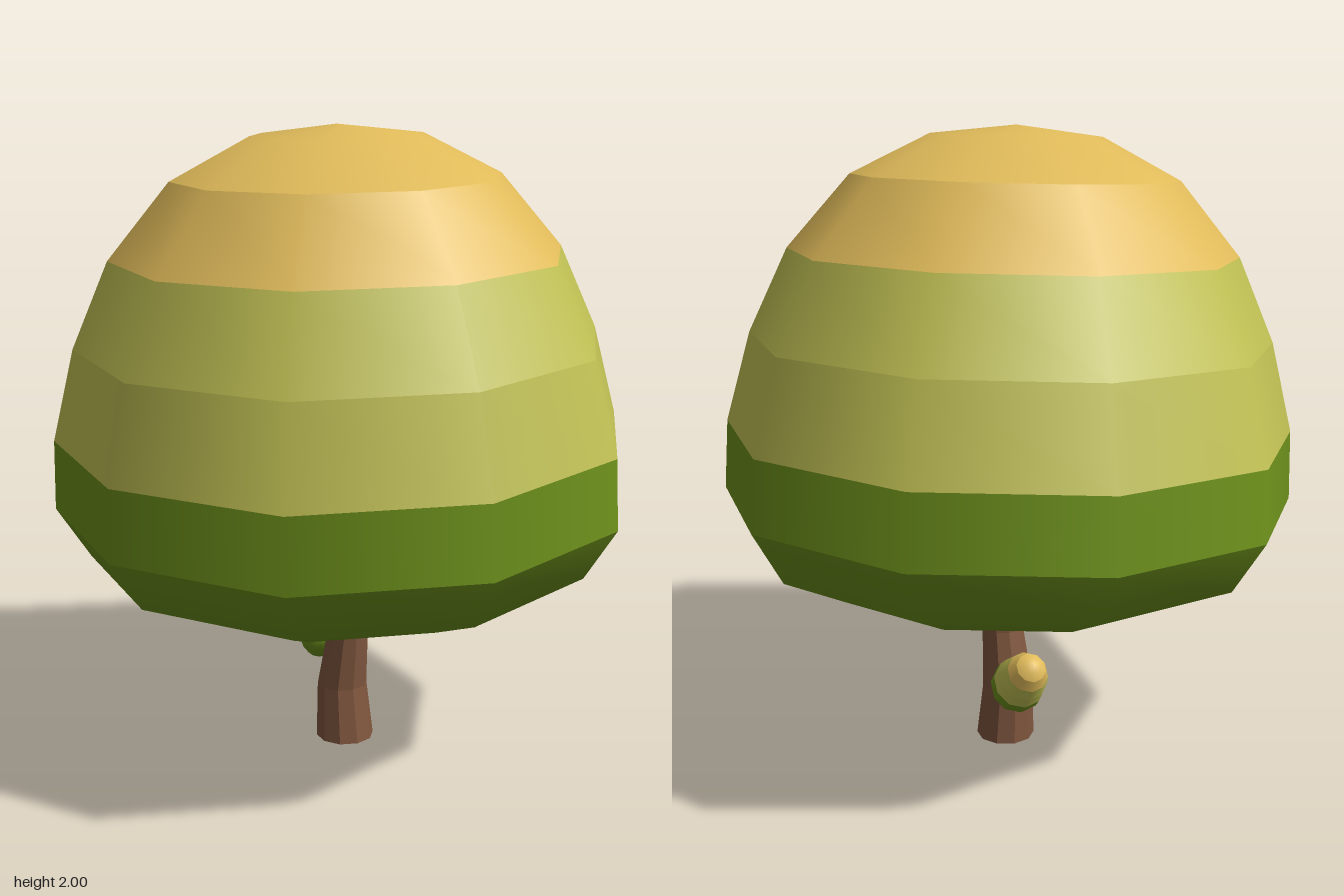
import * as THREE from 'three';

const SIDES = 10;
const mat = (color, extra = {}) => new THREE.MeshStandardMaterial({ color, ...extra });
const yellow = mat(0xe0bb5a), lightGreen = mat(0xc2c255), darkGreen = mat(0x6f931c);
const bark = mat(0x80573f, { flatShading: true });

// Crown profile [radius, height above its base], bottom to top
const PROFILE = [[0, 0], [0.3, 0.02], [0.6, 0.073], [0.81, 0.17], [0.91, 0.335], [0.9, 0.555],
  [0.825, 0.84], [0.705, 1.105], [0.51, 1.335], [0.265, 1.462], [0, 1.493]];

// Each band is smooth inside and creased against its neighbours
const BANDS = [
  ['crownUnderside', 0, 4, darkGreen], ['crownLowerBand', 4, 5, darkGreen],
  ['crownMiddleBand', 5, 6, lightGreen], ['crownUpperBand', 6, 7, lightGreen],
  ['crownShoulder', 7, 8, yellow], ['crownTop', 8, 10, yellow],
];

function makeCrown(name) {
  const crown = new THREE.Group();
  crown.name = name;
  for (const [part, from, to, material] of BANDS) {
    const points = PROFILE.slice(from, to + 1).map(([r, y]) => new THREE.Vector2(r, y));
    const geometry = new THREE.LatheGeometry(points, SIDES).rotateY(Math.PI / 2);
    const mesh = new THREE.Mesh(geometry, material);
    mesh.name = part;
    crown.add(mesh);
  }
  return crown;
}

// Points the local y axis along a direction
function aim(object, direction) {
  object.quaternion.setFromUnitVectors(new THREE.Vector3(0, 1, 0), direction.clone().normalize());
}

// Trunk: cylinder whose rings are moved to follow a crooked centre line
function makeTrunk() {
  // [height, radius, centre z]
  const rings = [[0, 0.095, -0.007], [0.18, 0.082, -0.02], [0.38, 0.067, 0.008], [0.56, 0.057, -0.003]];
  const geometry = new THREE.CylinderGeometry(1, 1, 3, SIDES, 3, false, Math.PI / 2);
  const p = geometry.attributes.position;
  for (let i = 0; i < p.count; i++) {
    const [y, r, z] = rings[Math.round(p.getY(i) + 1.5)];
    p.setXYZ(i, 0.016 + p.getX(i) * r, y, z + p.getZ(i) * r);
  }
  geometry.computeVertexNormals();
  const trunk = new THREE.Mesh(geometry, bark);
  trunk.name = 'trunk';
  return trunk;
}

export function createModel() {
  const tree = new THREE.Group();
  tree.name = 'tree';
  tree.add(makeTrunk());

  // Main crown, leaning slightly
  const crown = makeCrown('crown');
  crown.position.set(0.017, 0.51, -0.01);
  aim(crown, new THREE.Vector3(-0.05, 1, 0.029));
  tree.add(crown);

  // Small side crown behind the trunk
  const base = new THREE.Vector3(0.1, 0.225, -0.155);
  const tip = new THREE.Vector3(0.14, 0.395, -0.322);
  const sideCrown = makeCrown('sideCrown');
  sideCrown.position.copy(base);
  sideCrown.scale.set(0.094, 0.162, 0.094);
  aim(sideCrown, tip.clone().sub(base));
  tree.add(sideCrown);

  // Twig joining the side crown to the trunk
  const root = new THREE.Vector3(0.04, 0.165, -0.08);
  const end = base.clone().lerp(tip, 0.08);
  const along = end.clone().sub(root);
  const twig = new THREE.Mesh(new THREE.CylinderGeometry(0.008, 0.012, along.length(), 6), bark);
  twig.name = 'twig';
  twig.position.copy(root).lerp(end, 0.5);
  aim(twig, along);
  tree.add(twig);

  return tree;
}
